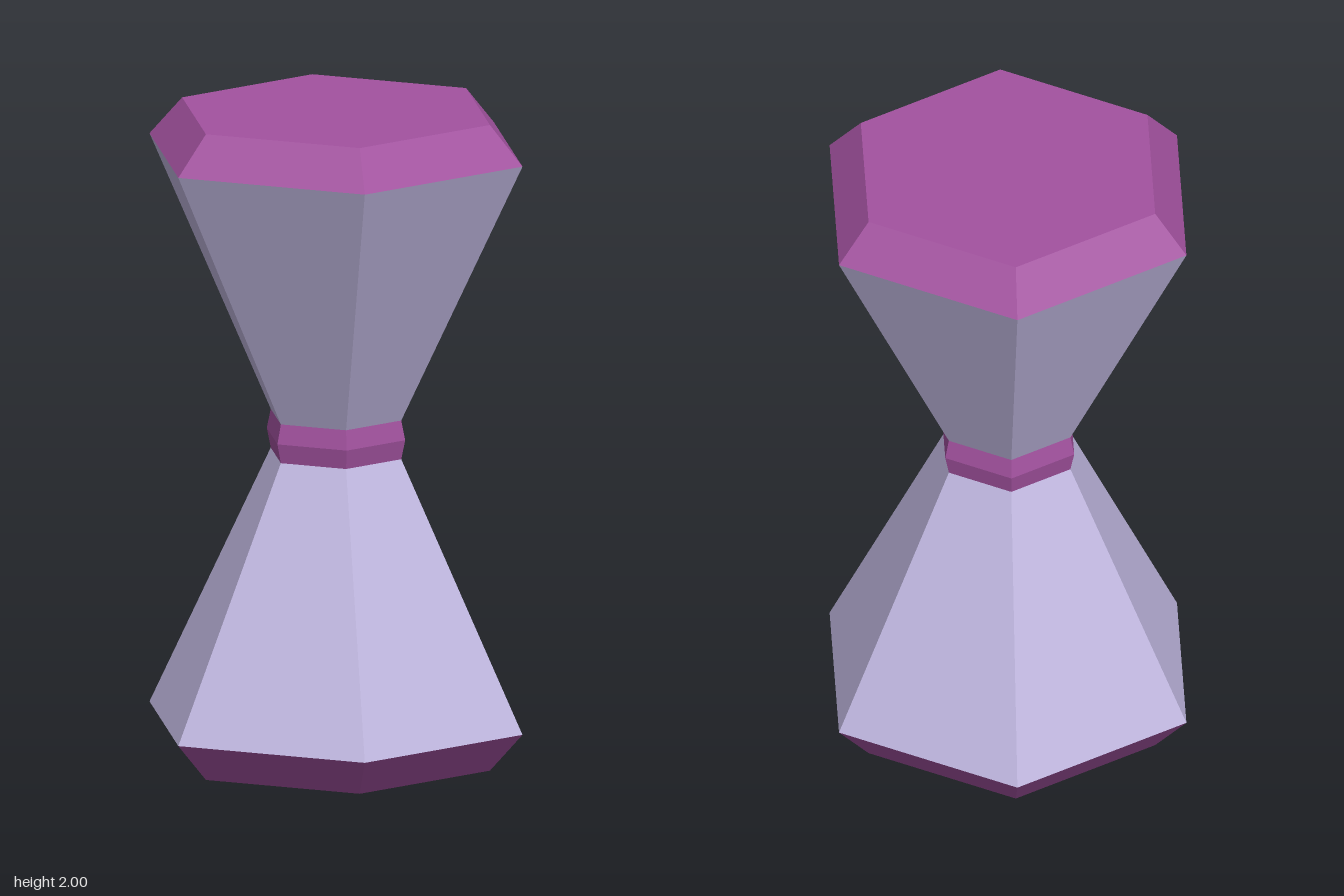
import * as THREE from 'three';

const purple = new THREE.MeshStandardMaterial({ color: 0xa352a0, flatShading: true });
purple.name = 'purple frame';
const lavender = new THREE.MeshStandardMaterial({ color: 0xc2b9e2, flatShading: true });
lavender.name = 'lavender glass';

// Six-sided tapered section from height y0 (radius r0) up to y1 (radius r1)
function section(name, material, y0, r0, y1, r1, open) {
  const geometry = new THREE.CylinderGeometry(r1, r0, y1 - y0, 6, 1, open);
  geometry.translate(0, (y0 + y1) / 2, 0);
  const mesh = new THREE.Mesh(geometry, material);
  mesh.name = name;
  return mesh;
}

export function createModel() {
  const model = new THREE.Group();
  model.name = 'hourglass';

  const capRadius = 0.5, rimRadius = 0.606, neckRadius = 0.212, bandRadius = 0.225;
  const rimY = 0.12, neckY = 0.94;

  // Lower half
  model.add(
    section('bottomCap', purple, 0, capRadius, rimY, rimRadius, false),
    section('lowerBulb', lavender, rimY, rimRadius, neckY, neckRadius, true),
    section('neckBandLower', purple, neckY, neckRadius, 1, bandRadius, true),
  );

  // Upper half, mirrored about y = 1
  model.add(
    section('neckBandUpper', purple, 1, bandRadius, 2 - neckY, neckRadius, true),
    section('upperBulb', lavender, 2 - neckY, neckRadius, 2 - rimY, rimRadius, true),
    section('topCap', purple, 2 - rimY, rimRadius, 2, capRadius, false),
  );

  return model;
}
